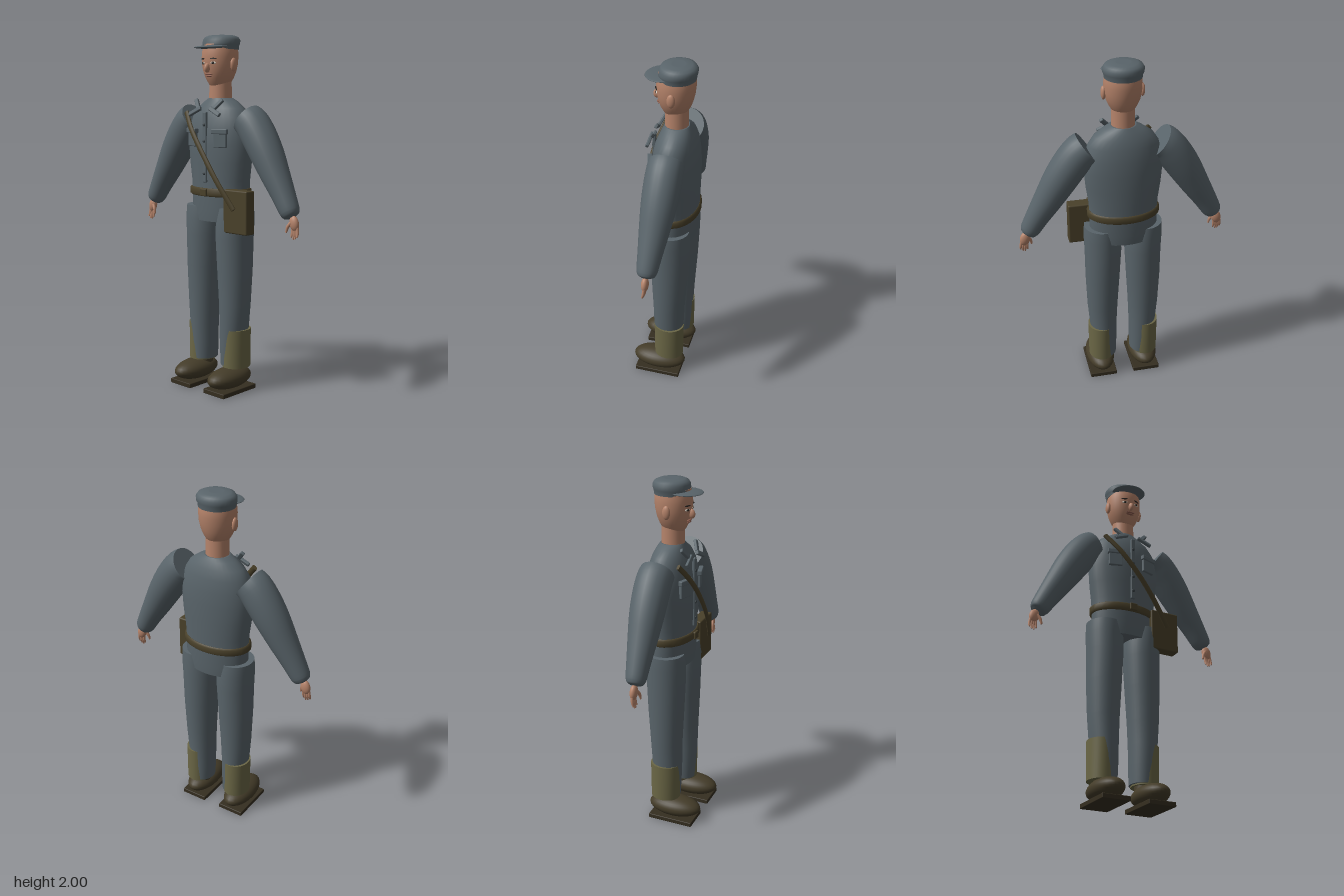
import * as THREE from 'three';
import { RoundedBoxGeometry } from 'three/addons/geometries/RoundedBoxGeometry.js';

const V = (x, y, z) => new THREE.Vector3(x, y, z);
const SIDES = 32;

function material(name, color) {
  const m = new THREE.MeshStandardMaterial({ color });
  m.name = name;
  return m;
}

// Skin a list of rings (arrays of points) and close both ends with flat caps
function skin(rings) {
  const n = rings[0].length, pos = [], idx = [];
  rings.forEach(r => r.forEach(p => pos.push(p.x, p.y, p.z)));
  for (let i = 0; i < rings.length - 1; i++) {
    for (let j = 0; j < n; j++) {
      const k = (j + 1) % n, a = i * n + j, b = i * n + k, c = a + n, d = b + n;
      idx.push(a, c, b, b, c, d);
    }
  }
  [rings[0], rings[rings.length - 1]].forEach((r, end) => {
    const base = pos.length / 3, mid = V(0, 0, 0);
    r.forEach(p => { pos.push(p.x, p.y, p.z); mid.addScaledVector(p, 1 / n); });
    pos.push(mid.x, mid.y, mid.z);
    for (let j = 0; j < n; j++) {
      const a = base + j, b = base + (j + 1) % n;
      end ? idx.push(base + n, b, a) : idx.push(base + n, a, b);
    }
  });
  const g = new THREE.BufferGeometry();
  g.setAttribute('position', new THREE.Float32BufferAttribute(pos, 3));
  g.setIndex(idx);
  g.computeVertexNormals();
  return g;
}

// Upright loft: each section is [y, centreX, centreZ, radiusX, radiusZ]
function loft(sections, s = 1) {
  return skin(sections.map(([y, cx, cz, rx, rz]) => Array.from({ length: SIDES }, (_, j) => {
    const a = j / SIDES * Math.PI * 2;
    return V(s * cx + rx * Math.cos(a), y, cz + rz * Math.sin(a));
  })));
}

// Sweep along a path: each key is [x, y, z, radius]; depth scales the radius in z
function sweep(keys, s = 1, depth = 1, steps = 32, sides = 24) {
  const path = new THREE.CatmullRomCurve3(keys.map(k => V(s * k[0], k[1], k[2])));
  const size = new THREE.CatmullRomCurve3(keys.map((k, i) => V(k[3], i, 0)));
  const rings = [];
  for (let i = 0; i <= steps; i++) {
    const p = path.getPoint(i / steps), t = path.getTangent(i / steps), r = size.getPoint(i / steps).x;
    const u = t.clone().cross(V(0, 0, 1)).normalize(), v = u.clone().cross(t);
    rings.push(Array.from({ length: sides }, (_, j) => {
      const a = j / sides * Math.PI * 2;
      return p.clone().addScaledVector(u, r * Math.cos(a)).addScaledVector(v, r * depth * Math.sin(a));
    }));
  }
  return skin(rings);
}

export function createModel() {
  const model = new THREE.Group();
  model.name = 'uniformedFigure';
  const cloth = material('greyCloth', 0x59646a), flesh = material('skin', 0xb5836a);
  const leather = material('leather', 0x4a412a), bootMat = material('bootLeather', 0x443c29);
  const canvas = material('gaiterCanvas', 0x6b6746), soleMat = material('sole', 0x352e20);
  const dark = material('darkDetail', 0x2b2622), white = material('eyeWhite', 0xcfc6ba);
  const lip = material('lip', 0x8e5f50), button = material('button', 0x3c4448);

  function add(name, geo, mat, pos = [0, 0, 0], rot = [0, 0, 0]) {
    const m = new THREE.Mesh(geo, mat);
    m.name = name;
    m.position.set(...pos);
    m.rotation.set(...rot);
    model.add(m);
    return m;
  }
  const ball = (name, mat, pos, size, rot) =>
    add(name, new THREE.SphereGeometry(1, 28, 18), mat, pos, rot).scale.set(...size);
  const box = (name, mat, pos, size, rot, r = 0.005) =>
    add(name, new RoundedBoxGeometry(...size, 2, r), mat, pos, rot);

  // Jacket and hips
  add('jacket', loft([
    [0.97, 0, -0.045, 0.18, 0.115], [1.03, 0, -0.045, 0.19, 0.12], [1.12, 0, -0.045, 0.19, 0.122],
    [1.2, 0, -0.045, 0.193, 0.124], [1.3, 0, -0.044, 0.207, 0.127], [1.4, 0, -0.043, 0.216, 0.128],
    [1.48, 0, -0.043, 0.21, 0.124], [1.55, 0, -0.045, 0.192, 0.112], [1.6, 0, -0.047, 0.16, 0.094],
    [1.635, 0, -0.047, 0.11, 0.077], [1.655, 0, -0.045, 0.07, 0.066]]), cloth);
  box('placket', cloth, [0, 1.385, 0.081], [0.026, 0.39, 0.018]);
  for (const y of [1.24, 1.33, 1.42, 1.51]) ball('jacketButton', button, [0, y, 0.091], [0.009, 0.009, 0.005]);

  // Belt with buckle
  add('belt', loft([
    [1.112, 0, -0.043, 0.193, 0.126], [1.12, 0, -0.043, 0.203, 0.135],
    [1.15, 0, -0.043, 0.203, 0.135], [1.158, 0, -0.043, 0.193, 0.126]]), leather);
  box('buckle', leather, [0, 1.135, 0.093], [0.046, 0.042, 0.016]);

  // Satchel and shoulder strap
  box('satchel', leather, [0.213, 1.04, 0.038], [0.172, 0.24, 0.068], [0, 0, 0], 0.008);
  add('strap', sweep([[-0.168, 1.575, 0.06, 0.016], [-0.09, 1.48, 0.098, 0.016], [0.02, 1.34, 0.115, 0.016],
    [0.12, 1.2, 0.112, 0.016], [0.22, 1.055, 0.088, 0.016]], 1, 0.6, 24, 12), leather);

  // Neck, head and cap
  add('neck', new THREE.CylinderGeometry(0.062, 0.064, 0.12, 32), flesh, [0, 1.69, -0.042]);
  add('head', loft([
    [1.718, 0, -0.03, 0.042, 0.045], [1.732, 0, -0.034, 0.056, 0.062], [1.765, 0, -0.035, 0.076, 0.08],
    [1.8, 0, -0.036, 0.091, 0.092], [1.84, 0, -0.037, 0.099, 0.1], [1.88, 0, -0.038, 0.101, 0.103],
    [1.91, 0, -0.039, 0.099, 0.102], [1.95, 0, -0.04, 0.092, 0.094]]), flesh);
  ball('nose', flesh, [0, 1.82, 0.062], [0.014, 0.027, 0.022], [-0.3, 0, 0]);
  ball('upperLip', lip, [0, 1.785, 0.053], [0.028, 0.005, 0.008]);
  ball('lowerLip', lip, [0, 1.775, 0.05], [0.024, 0.005, 0.008]);
  add('cap', loft([
    [1.92, 0, -0.045, 0.1, 0.097], [1.945, 0, -0.045, 0.103, 0.1], [1.95, 0, -0.048, 0.108, 0.1],
    [1.972, 0, -0.05, 0.108, 0.1], [1.988, 0, -0.05, 0.097, 0.09], [1.997, 0, -0.05, 0.075, 0.07],
    [2.0, 0, -0.05, 0.04, 0.038]]), cloth);
  ball('capPeak', cloth, [0, 1.933, 0.03], [0.1, 0.01, 0.095], [0.04, 0, 0]);

  for (const s of [-1, 1]) {
    // Face details
    ball('ear', flesh, [s * 0.103, 1.837, -0.037], [0.014, 0.037, 0.022]);
    ball('eyeWhite', white, [s * 0.038, 1.846, 0.056], [0.017, 0.007, 0.004], [0, s * 0.4, 0]);
    ball('iris', dark, [s * 0.037, 1.846, 0.059], [0.008, 0.007, 0.004], [0, s * 0.4, 0]);
    ball('eyebrow', dark, [s * 0.04, 1.869, 0.058], [0.021, 0.004, 0.004], [0, s * 0.4, 0]);

    // Collar flaps and chest pockets
    box('collarFlap', cloth, [s * 0.08, 1.622, 0.06], [0.024, 0.07, 0.018], [-0.5, 0, -s * 0.65]);
    box('collarPoint', cloth, [s * 0.075, 1.582, 0.085], [0.09, 0.024, 0.018], [-0.4, s * 0.1, -s * 0.42]);
    box('chestPocket', cloth, [s * 0.104, 1.432, 0.071], [0.08, 0.09, 0.02], [0, s * 0.28, 0]);
    box('pocketFlap', cloth, [s * 0.105, 1.475, 0.076], [0.096, 0.028, 0.026], [0, s * 0.28, 0]);

    // Sleeve, tapering to a rounded cuff
    add('sleeve', sweep([
      [0.2, 1.54, -0.045, 0.094], [0.235, 1.515, -0.045, 0.097], [0.285, 1.452, -0.044, 0.098],
      [0.345, 1.36, -0.041, 0.093], [0.41, 1.25, -0.036, 0.08], [0.47, 1.15, -0.031, 0.066],
      [0.518, 1.065, -0.027, 0.055], [0.53, 1.044, -0.027, 0.044], [0.535, 1.036, -0.027, 0.025]], s), cloth);

    // Hand with four fingers and a thumb
    ball('palm', flesh, [s * 0.55, 1.005, -0.025], [0.028, 0.042, 0.02], [0, 0, s * 0.25]);
    for (let i = 0; i < 4; i++) {
      const x = 0.538 + i * 0.011, len = [0.045, 0.055, 0.052, 0.042][i];
      add('finger', sweep([[x, 0.985, -0.025, 0.008], [x + 0.002 + i * 0.001, 0.975 - len / 2, -0.022, 0.0075],
        [x + i * 0.002, 0.975 - len, -0.015, 0.004]], s, 1, 8, 10), flesh);
    }
    add('thumb', sweep([[0.537, 1.01, -0.015, 0.009], [0.52, 0.985, -0.008, 0.009],
      [0.513, 0.955, -0.004, 0.005]], s, 1, 8, 10), flesh);

    // Trouser leg
    add('trouserLeg', loft([
      [0.148, 0.112, -0.034, 0.068, 0.079], [0.25, 0.114, -0.033, 0.074, 0.084],
      [0.36, 0.118, -0.032, 0.079, 0.088], [0.5, 0.121, -0.034, 0.088, 0.092],
      [0.7, 0.119, -0.036, 0.098, 0.103], [0.88, 0.115, -0.037, 0.104, 0.111],
      [0.98, 0.118, -0.038, 0.105, 0.112], [1.05, 0.12, -0.04, 0.1, 0.106]], s), cloth);

    // Gaiter, boot and sole
    add('gaiter', loft([[0.14, 0.131, -0.037, 0.075, 0.086], [0.36, 0.131, -0.037, 0.077, 0.088]], s), canvas);
    add('ankle', new THREE.CylinderGeometry(0.05, 0.055, 0.08, 24), bootMat, [s * 0.122, 0.13, -0.03]);
    ball('boot', bootMat, [s * 0.132, 0.083, 0.022], [0.084, 0.059, 0.158]);
    box('sole', soleMat, [s * 0.132, 0.017, 0.02], [0.16, 0.026, 0.27], [0, 0, 0], 0.004);
  }
  return model;
}
